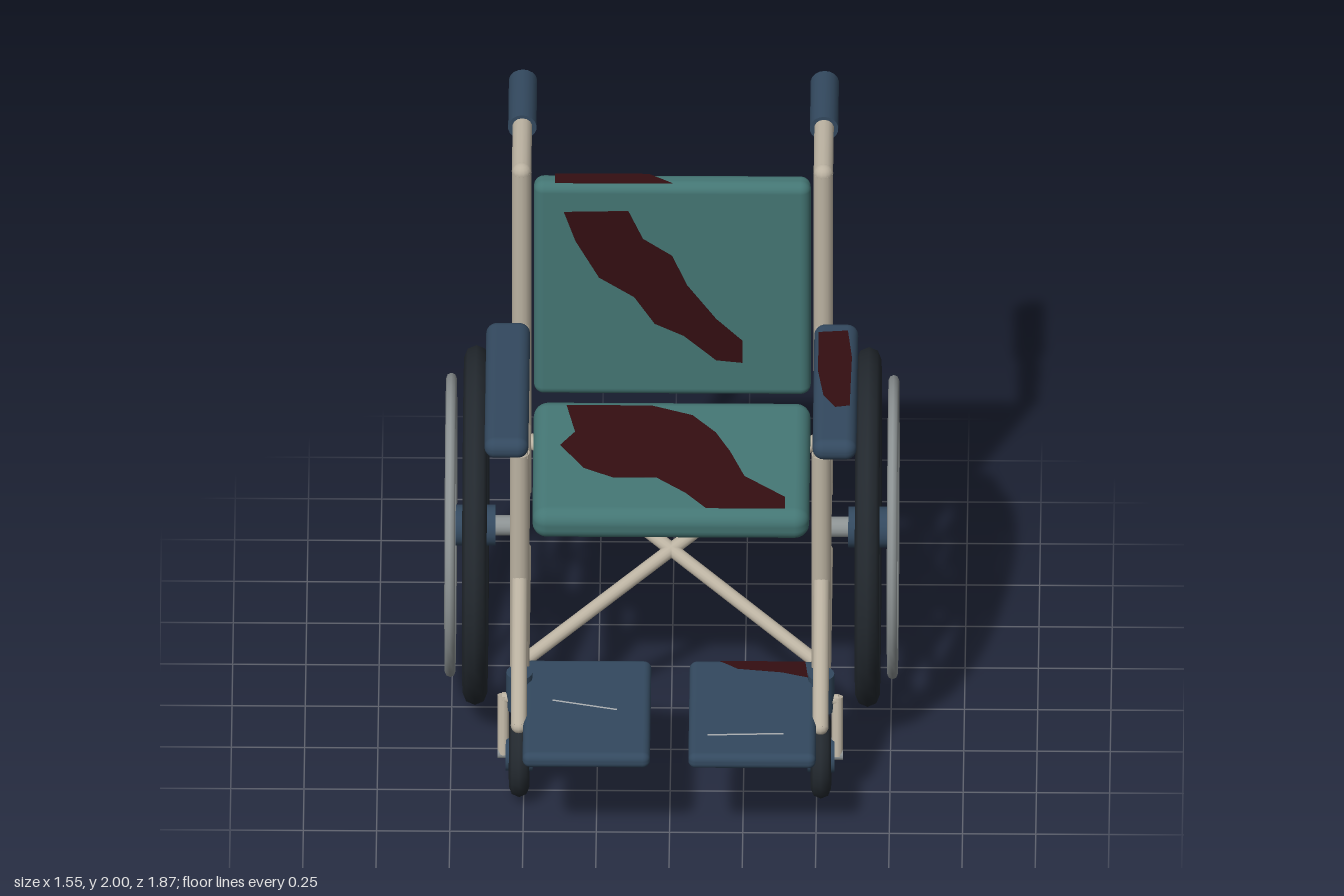
import * as THREE from 'three';
import { RoundedBoxGeometry } from 'three/addons/geometries/RoundedBoxGeometry.js';

const mat = (color) => new THREE.MeshStandardMaterial({ color });
const TEAL = mat(0x447674), NAVY = mat(0x33495f), RUBBER = mat(0x23292f);
const FRAME = mat(0xbcb3a2), STEEL = mat(0x8d9394), STAIN = mat(0x340e11);
const SCRATCH = mat(0xa9adb0);

function add(parent, name, geometry, material, x = 0, y = 0, z = 0) {
  const mesh = new THREE.Mesh(geometry, material);
  mesh.name = name;
  mesh.position.set(x, y, z);
  parent.add(mesh);
  return mesh;
}

// Straight round bar between two points
function bar(parent, name, a, b, radius, material = FRAME, sides = 14) {
  const from = new THREE.Vector3(...a), to = new THREE.Vector3(...b);
  const dir = to.clone().sub(from);
  const mesh = add(parent, name, new THREE.CylinderGeometry(radius, radius, dir.length(), sides), material);
  mesh.position.copy(from).add(to).multiplyScalar(0.5);
  mesh.quaternion.setFromUnitVectors(new THREE.Vector3(0, 1, 0), dir.normalize());
  return mesh;
}

function ring(parent, name, R, tube, material, x, radial = 8, segments = 36) {
  const mesh = add(parent, name, new THREE.TorusGeometry(R, tube, radial, segments), material, x);
  mesh.rotation.y = Math.PI / 2;
  return mesh;
}

function pad(parent, name, size, radius, material, pos) {
  return add(parent, name, new RoundedBoxGeometry(...size, 4, radius), material, ...pos);
}

// Thin patch cut from an outline
function patch(parent, name, outline) {
  const shape = new THREE.Shape(outline.map(([x, y]) => new THREE.Vector2(x, y)));
  return add(parent, name, new THREE.ExtrudeGeometry(shape, { depth: 0.003, bevelEnabled: false }), STAIN);
}

// Patch lying on a horizontal surface, outline given as x, z
function flatPatch(parent, name, outline, y) {
  const mesh = patch(parent, name, outline.map(([x, z]) => [x, -z]));
  mesh.rotation.x = -Math.PI / 2;
  mesh.position.y = y;
  return mesh;
}

function driveWheel(s) {
  const g = new THREE.Group();
  g.name = 'driveWheel';
  g.position.set(s * 0.67, 0.62, -0.2);
  ring(g, 'tire', 0.574, 0.042, RUBBER, 0);
  ring(g, 'rim', 0.52, 0.018, STEEL, 0);
  ring(g, 'handRim', 0.503, 0.018, STEEL, s * 0.085);
  bar(g, 'hub', [-0.068, 0, 0], [0.068, 0, 0], 0.07, NAVY, 20);
  bar(g, 'axle', [-s * 0.17, 0, 0], [-s * 0.05, 0, 0], 0.035, STEEL);
  for (let i = 0; i < 8; i++) {
    const c = Math.cos(i * Math.PI / 4), n = Math.sin(i * Math.PI / 4);
    bar(g, 'spoke', [0, c * 0.05, n * 0.05], [0, c * 0.515, n * 0.515], 0.014, STEEL, 8);
  }
  return g;
}

function caster(s) {
  const g = new THREE.Group();
  g.name = 'caster';
  g.position.set(s * 0.515, 0.16, 0.505);
  ring(g, 'casterTire', 0.115, 0.035, RUBBER, 0, 8, 24);
  bar(g, 'casterHub', [-0.046, 0, 0], [0.046, 0, 0], 0.06, NAVY, 18);
  bar(g, 'casterAxle', [-0.075, 0, 0], [0.075, 0, 0], 0.018, STEEL, 10);
  for (const k of [-1, 1]) {
    bar(g, 'forkLeg', [k * 0.055, 0, 0], [k * 0.055, 0.21, -0.045], 0.02, FRAME, 10);
  }
  bar(g, 'forkCrown', [-0.06, 0.2, -0.043], [0.06, 0.2, -0.043], 0.02, FRAME, 10);
  bar(g, 'steeringHousing', [0, 0.16, -0.045], [0, 0.305, -0.045], 0.045, NAVY, 16);
  return g;
}

function sideFrame(s) {
  const g = new THREE.Group();
  g.name = 'sideFrame';
  const x = s * 0.515, r = 0.034;
  bar(g, 'backPost', [x, 0.63, -0.39], [x, 1.955, -0.39], r);
  bar(g, 'pushHandle', [x, 1.955, -0.39], [x, 1.955, -0.68], r);
  add(g, 'handleElbow', new THREE.SphereGeometry(r, 14, 10), FRAME, x, 1.955, -0.39);
  bar(g, 'handleGrip', [x, 1.952, -0.66], [x, 1.952, -0.937], 0.049, NAVY, 18);
  bar(g, 'armTube', [x, 1.315, 0.4], [x, 1.315, -0.37], 0.03);
  bar(g, 'armPost', [x, 0.42, 0.38], [x, 1.32, 0.38], r);
  bar(g, 'seatRail', [x, 0.9, 0.38], [x, 0.9, -0.38], r);
  bar(g, 'lowerRail', [x, 0.42, 0.46], [x, 0.42, -0.35], r);
  bar(g, 'footrestHanger', [x, 0.82, 0.38], [x, 0.41, 0.7], 0.028);
  add(g, 'hangerEnd', new THREE.SphereGeometry(0.028, 12, 8), FRAME, x, 0.41, 0.7);
  pad(g, 'armrestPad', [0.15, 0.078, 0.75], 0.037, NAVY, [s * 0.56, 1.352, 0.053]);
  pad(g, 'footplate', [0.435, 0.058, 0.59], 0.025, NAVY, [s * 0.283, 0.413, 0.635]);
  // Crossing brace, from rear top to front bottom of the other side
  bar(g, 'crossBrace', [s * 0.49, 0.875, -0.35], [-s * 0.49, 0.425, 0.32], 0.024);
  return g;
}

export function createModel() {
  const model = new THREE.Group();
  model.name = 'wheelchair';
  for (const s of [-1, 1]) model.add(driveWheel(s), caster(s), sideFrame(s));

  // Backrest
  pad(model, 'backrest', [0.945, 0.875, 0.085], 0.035, TEAL, [0, 1.522, -0.342]);
  patch(model, 'backrestStain', [[-0.37, 1.85], [-0.33, 1.73], [-0.25, 1.58], [-0.13, 1.5],
    [-0.06, 1.39], [0.04, 1.34], [0.15, 1.24], [0.24, 1.23], [0.24, 1.32], [0.15, 1.41],
    [0.05, 1.55], [0, 1.67], [-0.1, 1.74], [-0.15, 1.855]]).position.z = -0.3;
  flatPatch(model, 'backrestTopStain', [[-0.4, -0.37], [-0.08, -0.37], [0, -0.315], [-0.4, -0.315]], 1.958);

  // Seat, sloping down to the front
  const seat = new THREE.Group();
  seat.name = 'seat';
  seat.position.set(0, 0.995, 0.01);
  seat.rotation.x = 0.1;
  model.add(seat);
  pad(seat, 'seatCushion', [0.945, 0.12, 0.63], 0.05, TEAL, [0, 0, 0]);
  flatPatch(seat, 'seatStain', [[-0.36, -0.27], [-0.07, -0.27], [0.07, -0.22], [0.15, -0.13],
    [0.2, -0.03], [0.25, 0.1], [0.39, 0.21], [0.39, 0.27], [0.12, 0.27], [0.05, 0.19],
    [-0.05, 0.11], [-0.2, 0.11], [-0.3, 0.06], [-0.38, -0.06], [-0.33, -0.13]], 0.058);

  // Stains and scratches on the armrest and footplates
  flatPatch(model, 'armrestStain', [[0.5, -0.25], [0.6, -0.26], [0.615, -0.1], [0.61, 0.19],
    [0.56, 0.2], [0.52, 0.13], [0.5, -0.02]], 1.389);
  flatPatch(model, 'footplateStain', [[0.17, 0.355], [0.46, 0.355], [0.47, 0.45], [0.38, 0.42],
    [0.23, 0.4]], 0.44);
  bar(model, 'scratch', [-0.4, 0.441, 0.595], [-0.18, 0.441, 0.65], 0.004, SCRATCH, 6);
  bar(model, 'scratch', [0.13, 0.441, 0.8], [0.39, 0.441, 0.79], 0.004, SCRATCH, 6);
  return model;
}
